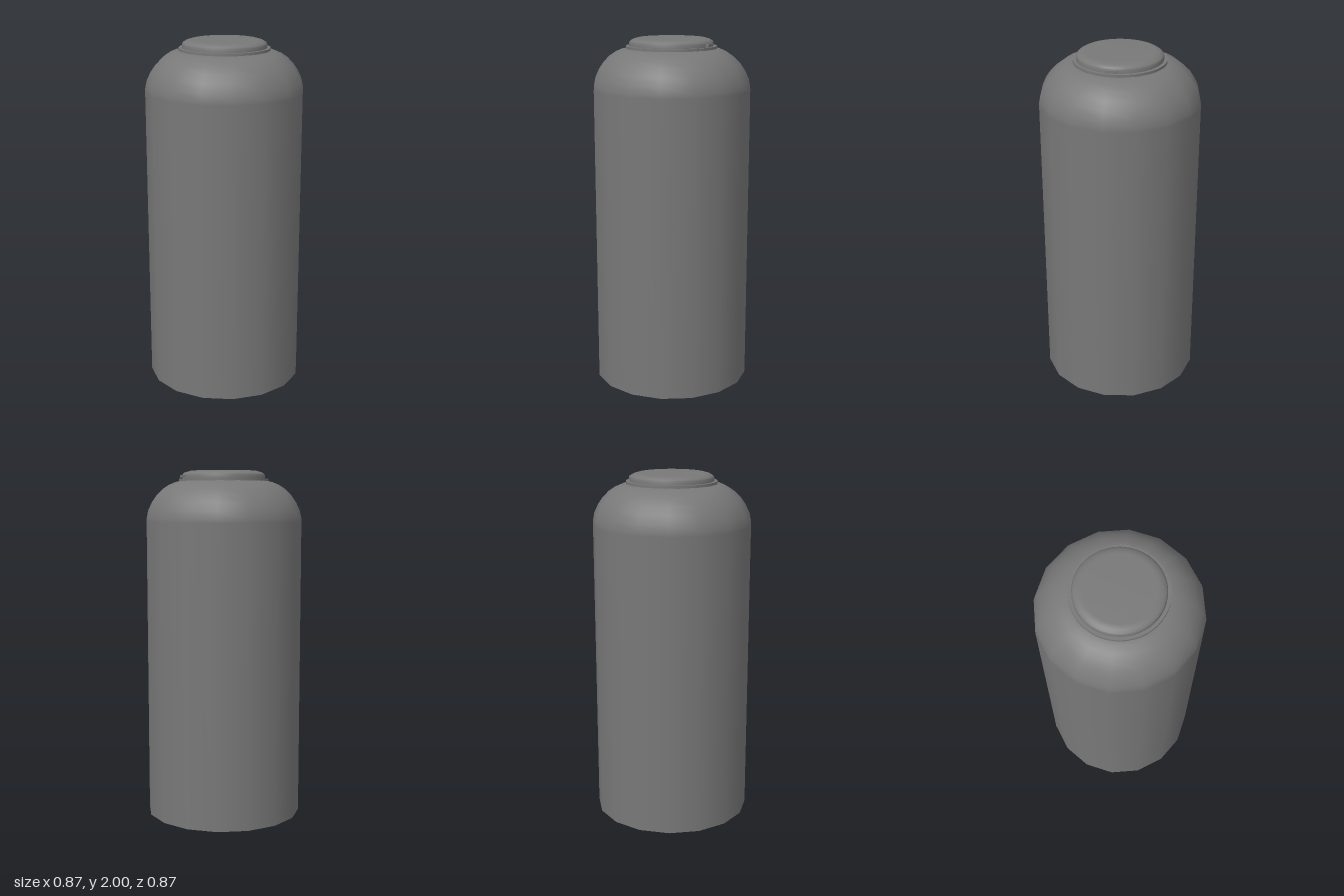
import * as THREE from 'three';

const material = new THREE.MeshStandardMaterial({ color: 0x787878 });

export function createModel() {
  const model = new THREE.Group();

  const add = (name, geometry, parent = model) => {
    const mesh = new THREE.Mesh(geometry, material);
    mesh.name = name;
    parent.add(mesh);
    return mesh;
  };
  // Profiles run from bottom to top as [radius, height]
  const turned = (name, profile, sides, parent, start, sweep) => {
    const points = profile.map(([r, y]) => new THREE.Vector2(r, y));
    return add(name, new THREE.LatheGeometry(points, sides, start, sweep), parent);
  };

  // Sixteen-sided body with a rounded shoulder
  turned('body', [
    [0.437, 0.053], [0.437, 1.72], [0.436, 1.74], [0.428, 1.78], [0.407, 1.825], [0.38, 1.865],
    [0.345, 1.9], [0.31, 1.923], [0.275, 1.938], [0.235, 1.947], [0, 1.948],
  ], 16);

  // Shallow domed underside
  turned('base', [[0, 0], [0.26, 0.026], [0.437, 0.053]], 16);

  // Cap: seating ring and softly chamfered lid
  const cap = new THREE.Group();
  cap.name = 'cap';
  model.add(cap);
  turned('ringWall', [[0.25, 1.94], [0.25, 1.957]], 48, cap);
  turned('ringTop', [[0.25, 1.957], [0.22, 1.957]], 48, cap);
  turned('lid', [
    [0.232, 1.955], [0.232, 1.975], [0.226, 1.984], [0.211, 1.993], [0.185, 2], [0, 2],
  ], 48, cap);

  // Small T-shaped latch on the left side of the cap: a tab and a thin curved strip above it
  const latch = new THREE.Group();
  latch.name = 'latch';
  cap.add(latch);
  add('latchTab', new THREE.BoxGeometry(0.017, 0.014, 0.06), latch).position.set(0.2365, 1.968, 0);
  turned('latchStrip', [[0.23, 1.979], [0.227, 1.985], [0.218, 1.991]], 8, latch, Math.PI / 2 - 0.28, 0.56);

  return model;
}
